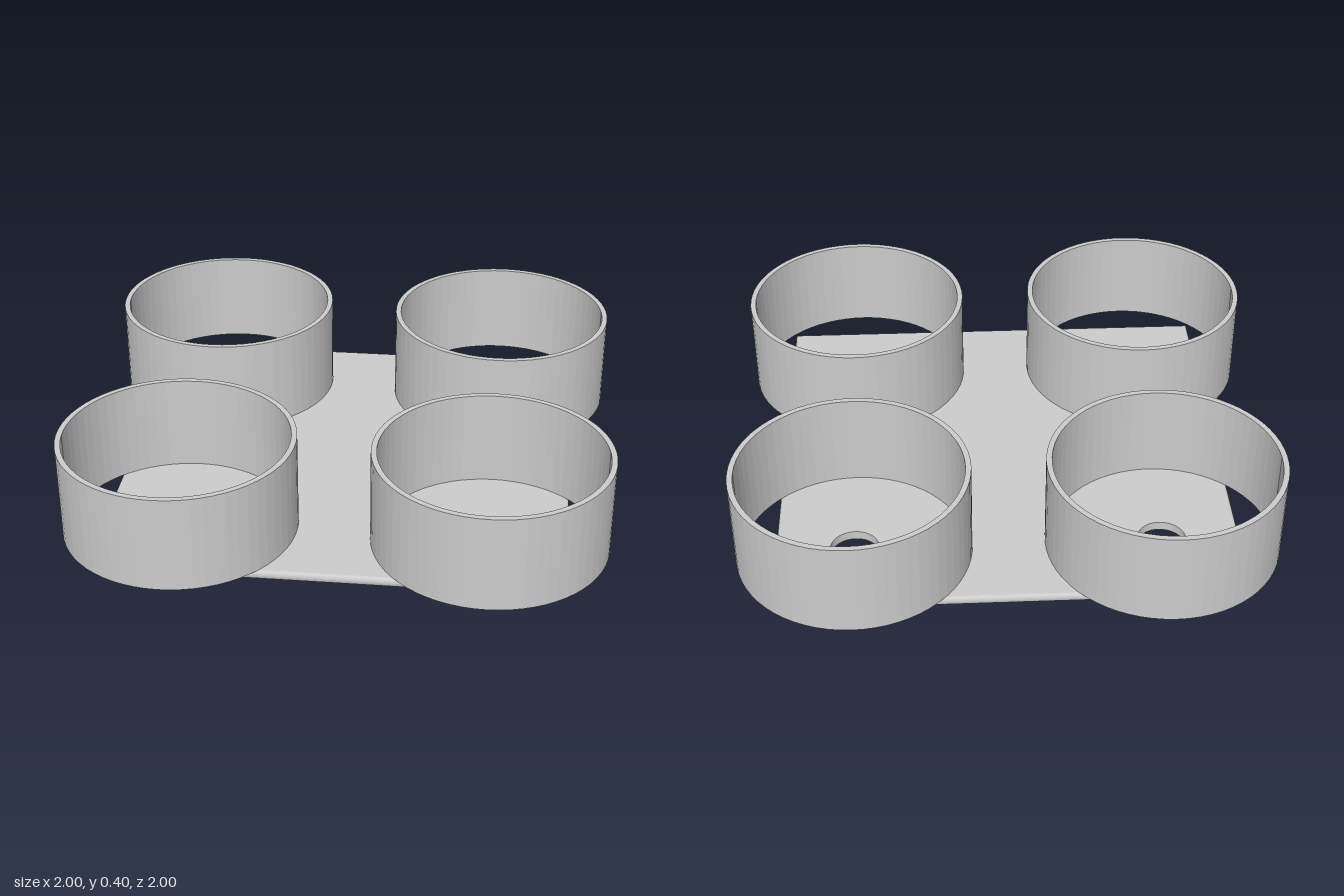
import * as THREE from 'three';

const material = new THREE.MeshStandardMaterial({ color: 0xcccccc });
material.name = 'light grey';

const RING_POS = 0.567, PLATE = 0.857, PLATE_TOP = 0.035, EDGE = 0.012, POCKET = 0.008;

function faceted(geometry) {
  const g = geometry.toNonIndexed();
  g.computeVertexNormals();
  return g;
}

function lathe(points, segments) {
  return faceted(new THREE.LatheGeometry(points.map(([r, y]) => new THREE.Vector2(r, y)), segments));
}

function rectangle(path, hx, hz) {
  path.moveTo(-hx, -hz).lineTo(hx, -hz).lineTo(hx, hz).lineTo(-hx, hz).closePath();
  return path;
}

// Square slab with four round holes, and optionally a central rectangular opening
function slab(y0, y1, withPocket) {
  const half = PLATE - EDGE;
  const shape = rectangle(new THREE.Shape(), half, half);
  for (const x of [-RING_POS, RING_POS]) {
    for (const z of [-RING_POS, RING_POS]) {
      shape.holes.push(new THREE.Path().absarc(x, z, 0.09, 0, Math.PI * 2, true));
    }
  }
  if (withPocket) shape.holes.push(rectangle(new THREE.Path(), 0.25, 0.15));
  const g = new THREE.ExtrudeGeometry(shape, { depth: y1 - y0, bevelEnabled: false, curveSegments: 32 });
  g.rotateX(-Math.PI / 2);
  g.translate(0, y0, 0);
  return g;
}

export function createModel() {
  const group = new THREE.Group();
  const add = (name, geometry) => {
    const mesh = new THREE.Mesh(geometry, material);
    mesh.name = name;
    group.add(mesh);
    return mesh;
  };

  // Base plate: the lower layer leaves a shallow pocket underneath
  add('plateUnderside', slab(0, POCKET, true));
  add('plateTop', slab(POCKET, PLATE_TOP, false));

  // Rounded edge around the square plate, as a four-sided lathe
  const profile = [];
  for (let i = 0; i <= 8; i++) {
    const a = -Math.PI / 2 + (i / 8) * Math.PI;
    profile.push([
      (PLATE - EDGE + EDGE * Math.cos(a)) * Math.SQRT2,
      (PLATE_TOP / 2) * (1 + Math.sin(a)),
    ]);
  }
  add('plateEdge', lathe(profile, 4).rotateY(Math.PI / 4));

  // Four open rings standing on the plate corners
  const ring = lathe([
    [0.433, PLATE_TOP], [0.433, 0.4], [0.412, 0.4], [0.412, PLATE_TOP], [0.433, PLATE_TOP],
  ], 64);
  for (const [side, x] of [['left', RING_POS], ['right', -RING_POS]]) {
    for (const [end, z] of [['Front', RING_POS], ['Back', -RING_POS]]) {
      add(`${side}${end}Ring`, ring).position.set(x, 0, z);
    }
  }
  return group;
}
